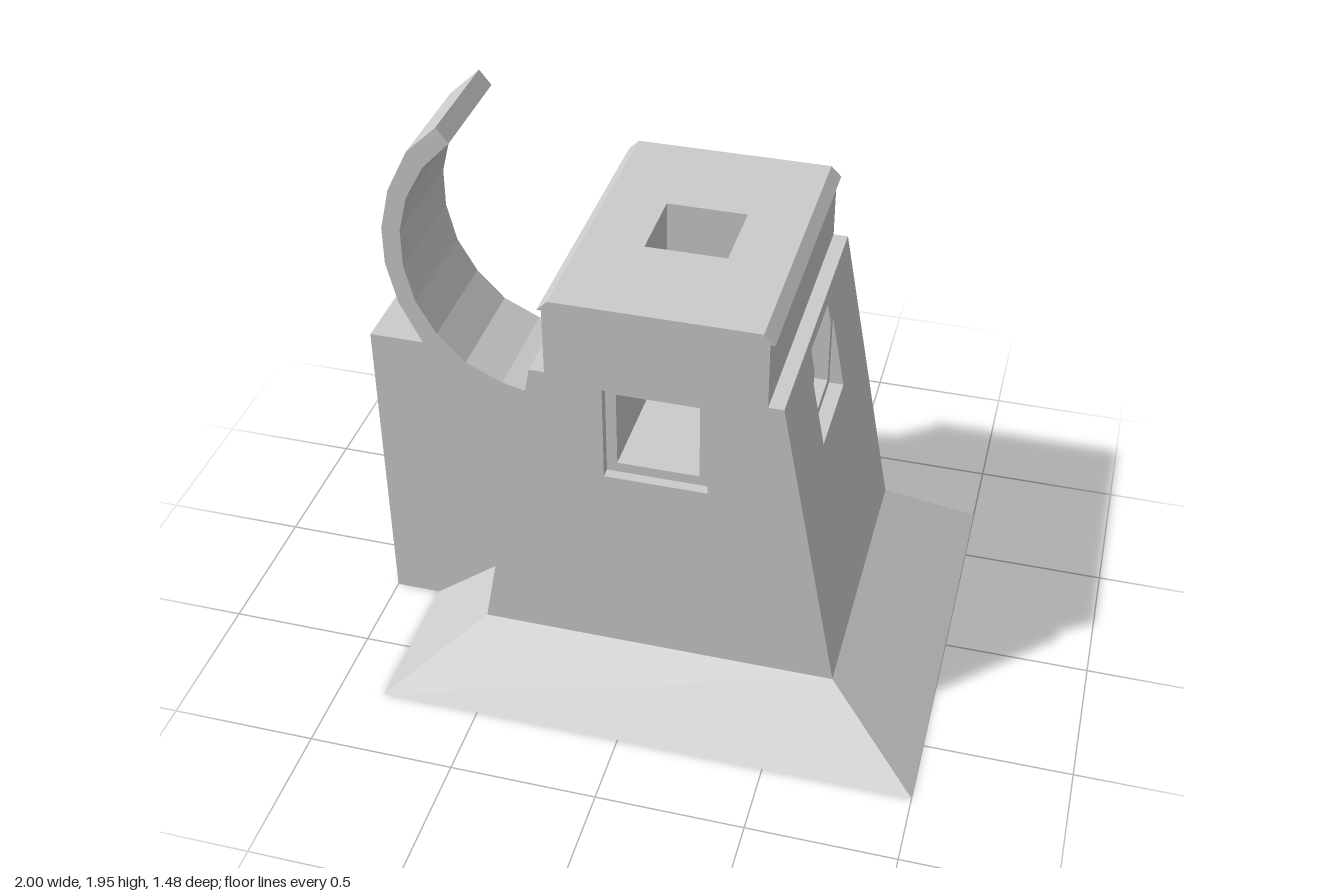
import * as THREE from 'three';
import { mergeGeometries } from 'three/addons/utils/BufferGeometryUtils.js';

const CX = 0.075;   // tower centre in x
const HZ = 0.51;    // tower half depth
const H = 0.135;    // tunnel half width
const R = 0.17;     // window recess half width
const Y = 1.115;    // window centre height
const Z_RECESS = 0.475, X_RECESS = 0.425;
const slope = y => 0.405 + (1.32 - y) * 0.185;
const vec = pts => pts.map(p => new THREE.Vector2(...p));
const rect = (u, v, w, h = w) => [[u - w, v - h], [u + w, v - h], [u + w, v + h], [u - w, v + h]];

// flat outline with holes, carried into space by a rule
function face(outline, holes, map) {
  const shape = new THREE.Shape(vec(outline));
  holes.forEach(h => shape.holes.push(new THREE.Path(vec(h))));
  const g = new THREE.ShapeGeometry(shape);
  const p = g.attributes.position;
  for (let i = 0; i < p.count; i++) p.setXYZ(i, ...map(p.getX(i), p.getY(i)));
  return g;
}

// walls joining two matching loops of corners
function loft(a, b, closed = true) {
  const pos = [], n = a.length;
  for (let i = 0; i < (closed ? n : n - 1); i++) {
    const j = (i + 1) % n;
    pos.push(...a[i], ...a[j], ...b[j], ...a[i], ...b[j], ...b[i]);
  }
  const g = new THREE.BufferGeometry();
  g.setAttribute('position', new THREE.Float32BufferAttribute(pos, 3));
  return g;
}

function part(name, geometries) {
  const clean = geometries.map(src => {
    const g = src.index ? src.toNonIndexed() : src;
    g.deleteAttribute('uv');
    g.computeVertexNormals();
    return g;
  });
  const mesh = new THREE.Mesh(mergeGeometries(clean), new THREE.MeshStandardMaterial({
    color: 0xcccccc, flatShading: true, side: THREE.DoubleSide }));
  mesh.name = name;
  return mesh;
}

export function createModel() {
  const group = new THREE.Group();

  // flared foot
  const lower = [[-0.84, 0, 0.74], [1, 0, 0.74], [1, 0, -0.74], [-0.84, 0, -0.74]];
  const upper = [[-0.53, 0.24, HZ], [0.68, 0.24, HZ], [0.68, 0.24, -HZ], [-0.53, 0.24, -HZ]];
  group.add(part('flaredFoot', [
    loft(lower, upper),
    face(rect(0.08, 0, 0.92, 0.74), [], (u, v) => [u, 0, -v]),
  ]));

  // tower walls: half profile as [distance from centre, height]
  const half = [[0.605, 0.24], [0.405, 1.32], [0.355, 1.32], [0.355, 1.55], [0.37, 1.55], [0.335, 1.585]];
  const outline = [...half.map(([d, y]) => [CX + d, y]),
    ...half.map(([d, y]) => [CX - d, y]).reverse()];
  const walls = [face(rect(CX, 0, 0.335, HZ), [rect(CX, 0, H)], (u, v) => [u, 1.585, -v])];
  const frontWindows = [], sideWindows = [];
  const yMeet = 1.32 - (X_RECESS - 0.405) / 0.185;   // recess plane meets the slope here
  const yBottom = Y - R, yTop = Y + R, yFloor = Y - H, yCeil = Y + H;

  for (const s of [1, -1]) {
    // front and back walls with stepped windows
    walls.push(face(outline, [rect(CX, Y, R)], (u, v) => [u, v, s * HZ]));
    const ring = (r, z) => rect(CX, Y, r).map(([x, y]) => [x, y, s * z]);
    frontWindows.push(
      loft(ring(R, HZ), ring(R, Z_RECESS)),
      loft(ring(R, Z_RECESS), ring(H, Z_RECESS)),
      loft(ring(H, Z_RECESS), ring(H, H)));

    // sloping side wall with a window opening, then ledge and lip
    const opening = [[-R, yBottom], [R, yBottom], [R, yMeet], [H, yMeet],
      [H, yTop], [-H, yTop], [-H, yMeet], [-R, yMeet]];
    walls.push(face([[-HZ, 0.24], [HZ, 0.24], [HZ, 1.32], [-HZ, 1.32]], [opening],
      (z, y) => [CX + s * slope(y), y, z]));
    const edge = z => half.slice(1).map(([d, y]) => [CX + s * d, y, z]);
    walls.push(loft(edge(HZ), edge(-HZ), false));

    // side window: upright recess plane, sill, cheeks and tunnel
    const at = (d, y, z) => [CX + s * d, y, z];
    sideWindows.push(face([[-R, yBottom], [R, yBottom], [R, yMeet], [H, yMeet],
      [H, yFloor], [-H, yFloor], [-H, yMeet], [-R, yMeet]], [], (z, y) => at(X_RECESS, y, z)));
    const sill = z => [at(X_RECESS, yBottom, z), at(slope(yBottom), yBottom, z)];
    sideWindows.push(loft(sill(R), sill(-R), false));
    const floor = z => [at(H, yFloor, z), at(X_RECESS, yFloor, z)];
    const ceiling = z => [at(H, yCeil, z), at(0.375, yCeil, z), at(slope(yTop), yTop, z)];
    sideWindows.push(loft(floor(H), floor(-H), false), loft(ceiling(H), ceiling(-H), false));
    for (const z of [1, -1]) {
      sideWindows.push(
        face([[X_RECESS, yBottom], [slope(yBottom), yBottom], [X_RECESS, yMeet]], [],
          (d, y) => at(d, y, z * R)),
        face([[H, yFloor], [X_RECESS, yFloor], [X_RECESS, yMeet], [slope(yTop), yTop],
          [0.375, yCeil], [H, yCeil]], [], (d, y) => at(d, y, z * H)));
    }
  }
  group.add(part('towerWalls', walls));
  group.add(part('frontAndBackWindows', frontWindows));
  group.add(part('sideWindows', sideWindows));

  // roof shaft and the floor where the tunnels cross
  const shaft = y => rect(CX, 0, H).map(([x, z]) => [x, y, z]);
  group.add(part('roofShaft', [
    loft(shaft(1.585), shaft(yCeil)),
    face(rect(CX, 0, H), [], (u, v) => [u, yFloor, -v]),
  ]));

  // block with the curved scoop rising from it
  const scoop = new THREE.Shape(vec([
    [-1, 0], [-0.49, 0], [-0.49, 0.24], [-0.40, 0.945], [-0.392, 0.976],
    [-0.54, 1.01], [-0.665, 1.07], [-0.76, 1.17], [-0.825, 1.285], [-0.857, 1.42],
    [-0.857, 1.555], [-0.825, 1.68], [-0.76, 1.80], [-0.665, 1.90],
    [-0.705, 1.95], [-0.81, 1.85], [-0.885, 1.70], [-0.92, 1.555],
    [-0.92, 1.42], [-0.885, 1.27], [-0.812, 1.125], [-1, 1.125]]));
  const scoopGeo = new THREE.ExtrudeGeometry(scoop, { depth: 0.4, bevelEnabled: false });
  scoopGeo.translate(0, 0, -0.2);
  group.add(part('scoopBlock', [scoopGeo]));

  return group;
}
